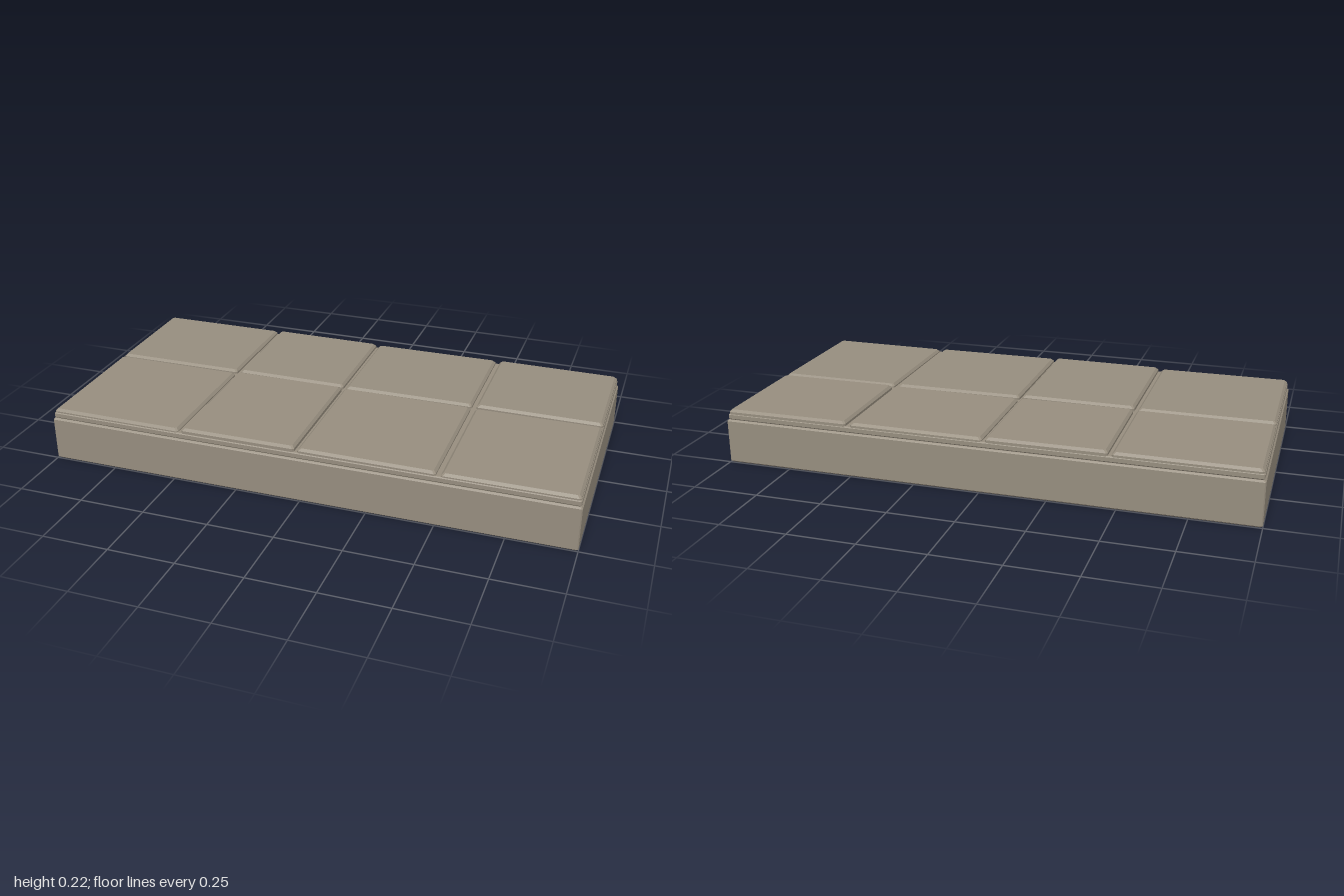
import * as THREE from 'three';

const stone = new THREE.MeshStandardMaterial({ color: 0x968d7e });
stone.name = 'stone';

// Block lofted from rectangular rings with cut corners. Each ring is [inset, y];
// the tilt function raises or lowers the uppermost two rings.
function bevelBlock(name, [x0, x1], [z0, z1], rings, cut, tilt = () => 0) {
  const loops = rings.map(([inset, y], k) => {
    const a = x0 + inset, b = x1 - inset, c = z0 + inset, d = z1 - inset;
    const outline = [
      [b, d - cut], [b, c + cut], [b - cut, c], [a + cut, c],
      [a, c + cut], [a, d - cut], [a + cut, d], [b - cut, d],
    ];
    return outline.map(([x, z]) => [x, y + (k >= rings.length - 2 ? tilt(x, z) : 0), z]);
  });
  const pos = [];
  const tri = (...points) => points.forEach((p) => pos.push(...p));
  for (let k = 0; k < loops.length - 1; k++) {
    for (let i = 0; i < 8; i++) {
      const j = (i + 1) % 8, low = loops[k], high = loops[k + 1];
      tri(low[i], low[j], high[j]);
      tri(low[i], high[j], high[i]);
    }
  }
  const bottom = loops[0], top = loops[loops.length - 1];
  for (let i = 1; i < 7; i++) {
    tri(top[0], top[i], top[i + 1]);
    tri(bottom[0], bottom[i + 1], bottom[i]);
  }
  const geometry = new THREE.BufferGeometry();
  geometry.setAttribute('position', new THREE.Float32BufferAttribute(pos, 3));
  geometry.computeVertexNormals();
  const mesh = new THREE.Mesh(geometry, stone);
  mesh.name = name;
  return mesh;
}

export function createModel() {
  const group = new THREE.Group();
  group.name = 'pavedFloorSlab';

  // Foundation block with fine bevels
  group.add(bevelBlock('foundation', [-1, 1], [-0.5, 0.5],
    [[0.006, 0], [0, 0.006], [0, 0.165], [0.006, 0.171]], 0.004));

  // Thin bed that shows in the joints between the tiles
  group.add(bevelBlock('tileBed', [-0.995, 0.995], [-0.495, 0.495],
    [[0.005, 0.169], [0, 0.175], [0, 0.19], [0.004, 0.194]], 0.004));

  // Paving tiles, each at a slightly different height and slope
  const columns = [[-0.992, -0.478], [-0.464, -0.022], [-0.01, 0.497], [0.515, 0.992]];
  const rows = [[-0.493, -0.047], [-0.033, 0.492]];
  const heights = [[0.209, 0.212, 0.209, 0.211], [0.208, 0.214, 0.21, 0.208]];
  const slopes = [0.002, -0.002, 0.003, -0.003];
  rows.forEach((zs, r) => columns.forEach((xs, c) => {
    const h = heights[r][c];
    const cx = (xs[0] + xs[1]) / 2, cz = (zs[0] + zs[1]) / 2;
    const sx = slopes[(c + r) % 4], sz = r ? -0.003 : 0.002;
    group.add(bevelBlock('pavingTile', xs, zs,
      [[0, 0.185], [0, h - 0.009], [0.009, h]], 0.006,
      (x, z) => (x - cx) * sx + (z - cz) * sz));
  }));
  return group;
}
